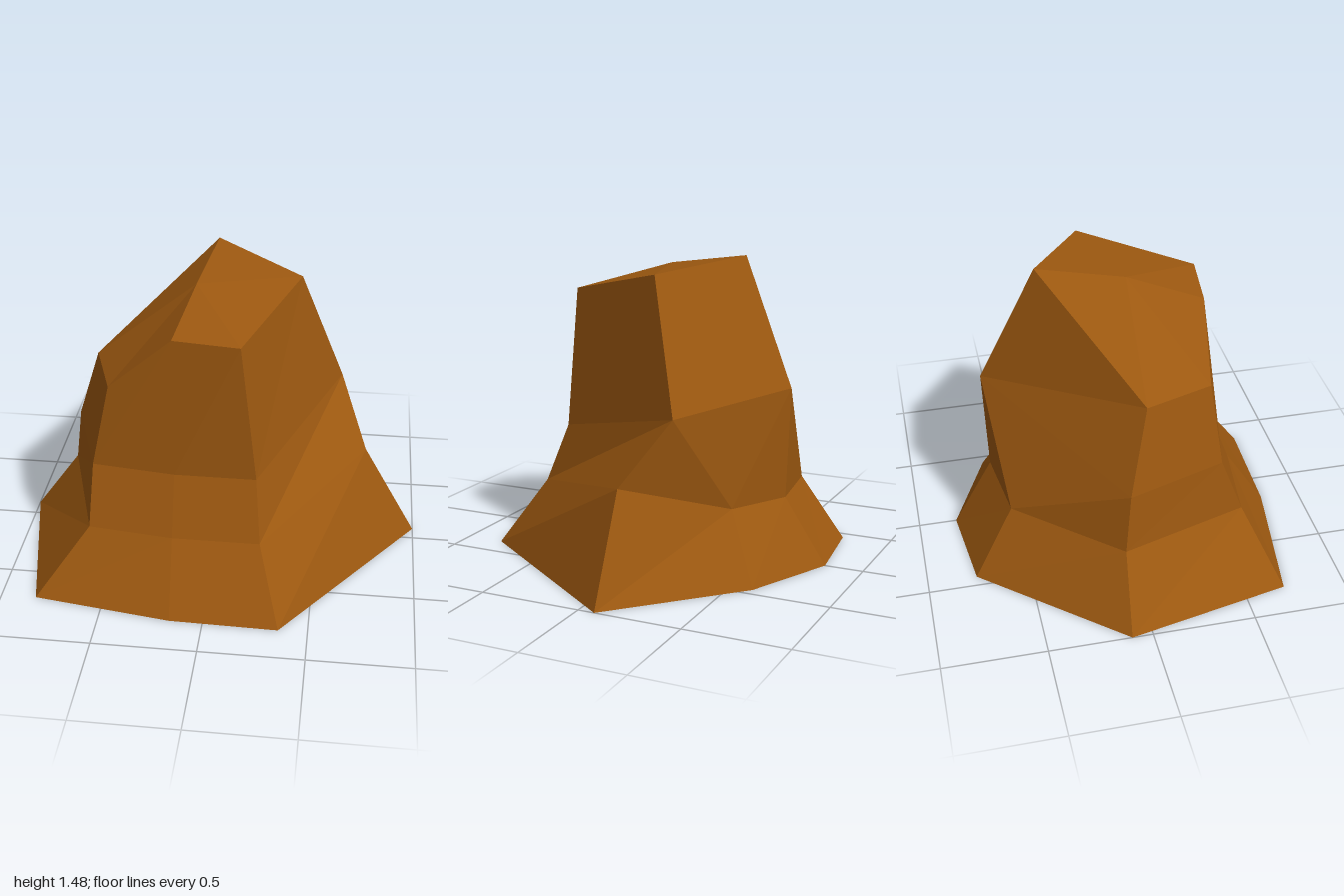
import * as THREE from 'three';

// Cross-sections from the ground up, counter-clockwise seen from above.
// A corner repeated within a ring merges two columns into one.
const rings = [
  // flared foot
  [[1, 0, -0.08], [0.45, 0, -0.61], [0, 0, -0.81], [-0.44, 0, -0.76],
    [-1, 0, -0.1], [-0.83, 0, 0.7], [-0.16, 0, 0.8], [0.36, 0, 0.81]],
  // narrow waist
  [[0.73, 0.49, -0.06], [0.32, 0.33, -0.45], [0.03, 0.33, -0.61], [-0.35, 0.33, -0.56],
    [-0.77, 0.33, -0.08], [-0.58, 0.33, 0.54], [-0.17, 0.33, 0.59], [0.25, 0.33, 0.59]],
  // bulging shoulder
  [[0.59, 0.8, -0.27], [0.59, 0.8, -0.27], [0.03, 0.87, -0.63], [0.03, 0.87, -0.63],
    [-0.73, 0.62, -0.05], [-0.57, 0.62, 0.43], [-0.17, 0.62, 0.48], [0.22, 0.62, 0.48]],
  // sloping crown
  [[0.38, 1.42, -0.08], [0.38, 1.42, -0.08], [-0.05, 1.48, -0.36], [-0.05, 1.48, -0.36],
    [-0.6, 1.02, 0.05], [-0.49, 1.02, 0.38], [-0.18, 1.3, 0.42], [0.14, 1.3, 0.46]],
];
const crownCentre = [-0.11, 1.42, 0.06];
const footCentre = [0, 0, 0];

function rockGeometry() {
  const positions = [];
  const triangle = (a, b, c) => {
    const same = (p, q) => p.every((v, i) => v === q[i]);
    if (!same(a, b) && !same(b, c) && !same(c, a)) positions.push(...a, ...b, ...c);
  };
  const sides = rings[0].length;
  for (let i = 0; i < sides; i++) {
    const j = (i + 1) % sides;
    // side facets
    for (let r = 0; r < rings.length - 1; r++) {
      const low = rings[r], high = rings[r + 1];
      triangle(low[i], low[j], high[j]);
      triangle(low[i], high[j], high[i]);
    }
    // top and underside
    const top = rings[rings.length - 1];
    triangle(top[i], top[j], crownCentre);
    triangle(rings[0][j], rings[0][i], footCentre);
  }
  const geometry = new THREE.BufferGeometry();
  geometry.setAttribute('position', new THREE.Float32BufferAttribute(positions, 3));
  geometry.computeVertexNormals(); // unshared corners give flat facets
  return geometry;
}

export function createModel() {
  const brownStone = new THREE.MeshStandardMaterial({ color: 0x9c5810 });
  brownStone.name = 'brownStone';
  brownStone.flatShading = true;

  const rock = new THREE.Mesh(rockGeometry(), brownStone);
  rock.name = 'rock';

  const model = new THREE.Group();
  model.name = 'rockFormation';
  model.add(rock);
  return model;
}
